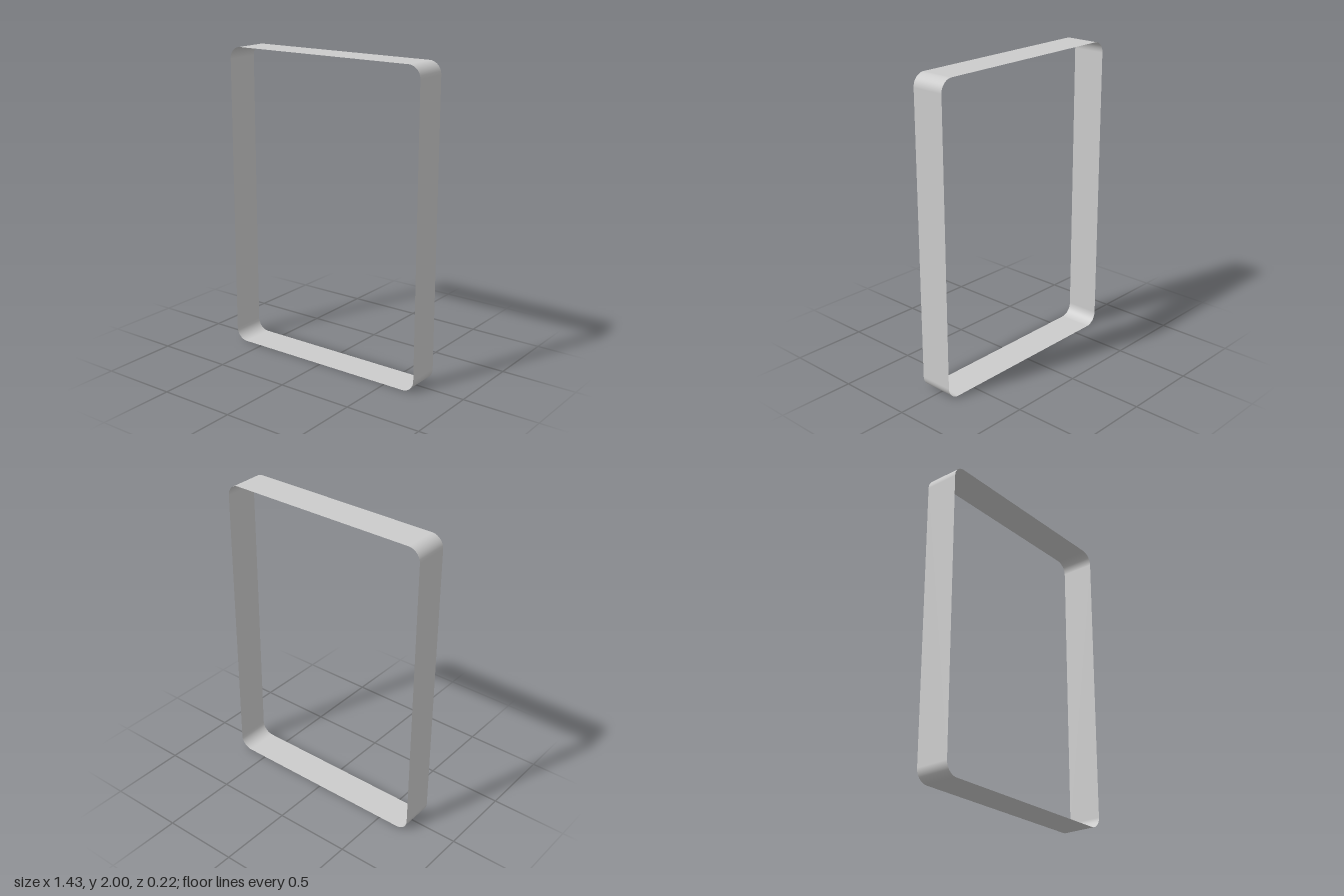
import * as THREE from 'three';

const HALF_W = 0.713, HALF_H = 1, HALF_D = 0.112, RADIUS = 0.08, STEPS = 12;

// Thin open band: a rounded rectangle outline swept along z
function bandGeometry() {
  const positions = [], normals = [], indices = [];
  const corners = [[1, 1], [-1, 1], [-1, -1], [1, -1]];

  // Counter-clockwise quarter arcs; the gaps between them form the flat sides
  corners.forEach(([sx, sy], c) => {
    for (let i = 0; i <= STEPS; i++) {
      const a = (c + i / STEPS) * Math.PI / 2;
      const nx = Math.cos(a), ny = Math.sin(a);
      const x = sx * (HALF_W - RADIUS) + RADIUS * nx;
      const y = HALF_H + sy * (HALF_H - RADIUS) + RADIUS * ny;
      for (const z of [HALF_D, -HALF_D]) {
        positions.push(x, y, z);
        normals.push(nx, ny, 0);
      }
    }
  });

  // Join neighbouring sections, closing the loop, faces outward
  const count = positions.length / 6;
  for (let i = 0; i < count; i++) {
    const a = 2 * i, b = 2 * ((i + 1) % count);
    indices.push(a, a + 1, b, b, a + 1, b + 1);
  }

  const geometry = new THREE.BufferGeometry();
  geometry.setAttribute('position', new THREE.Float32BufferAttribute(positions, 3));
  geometry.setAttribute('normal', new THREE.Float32BufferAttribute(normals, 3));
  geometry.setIndex(indices);
  return geometry;
}

export function createModel() {
  const group = new THREE.Group();
  group.name = 'roundedFrame';
  const material = new THREE.MeshStandardMaterial({ color: 0xcccccc, side: THREE.DoubleSide });
  const band = new THREE.Mesh(bandGeometry(), material);
  band.name = 'frameBand';
  group.add(band);
  return group;
}
